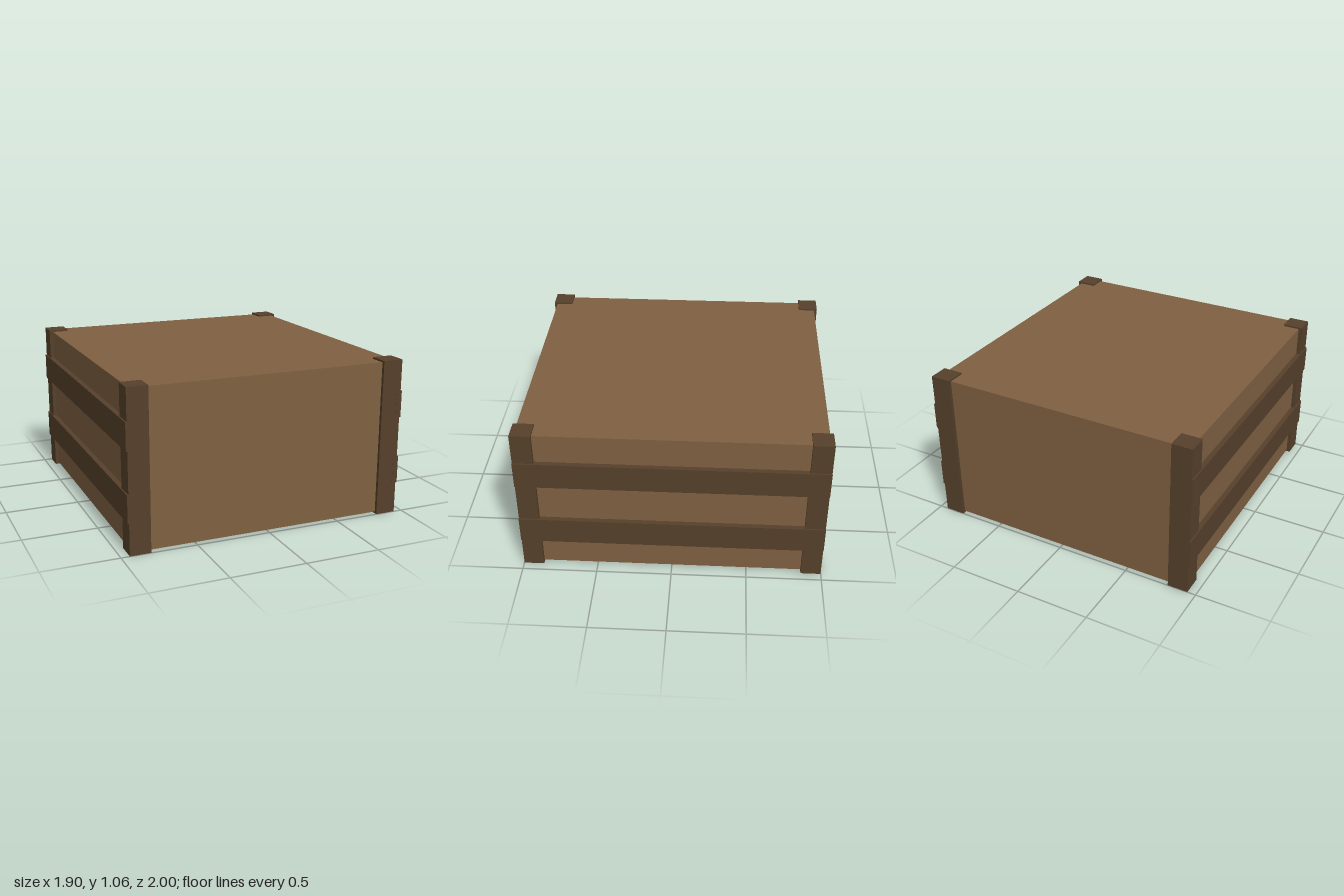
import * as THREE from 'three';

export function createModel() {
  const crate = new THREE.Group();
  crate.name = 'crate';

  const panelWood = new THREE.MeshStandardMaterial({ color: 0x7f6041 });
  panelWood.name = 'light brown wood';
  const frameWood = new THREE.MeshStandardMaterial({ color: 0x56402b });
  frameWood.name = 'dark brown wood';

  // Box spanning the given minimum and maximum on each axis
  function addBox(name, material, [x0, x1], [y0, y1], [z0, z1]) {
    const geometry = new THREE.BoxGeometry(x1 - x0, y1 - y0, z1 - z0);
    const mesh = new THREE.Mesh(geometry, material);
    mesh.position.set((x0 + x1) / 2, (y0 + y1) / 2, (z0 + z1) / 2);
    mesh.name = name;
    crate.add(mesh);
  }

  // Closed body
  addBox('body', panelWood, [-0.918, 0.918], [0.012, 1.048], [-0.978, 0.978]);

  for (const side of [-1, 1]) {
    const sideName = side > 0 ? 'left' : 'right';
    const span = (a, b, s) => (s > 0 ? [a, b] : [-b, -a]);

    // Corner posts, slightly proud of the body
    for (const end of [-1, 1]) {
      const endName = end > 0 ? 'Front' : 'Back';
      addBox(`${sideName}${endName}Post`, frameWood,
        span(0.805, 0.943, side), [0, 1.06], span(0.865, 0.999, end));
    }

    // Two horizontal slats across each side
    addBox(`${sideName}LowerSlat`, frameWood, span(0.914, 0.952, side), [0.212, 0.396], [-1, 1]);
    addBox(`${sideName}UpperSlat`, frameWood, span(0.914, 0.952, side), [0.668, 0.85], [-1, 1]);
  }

  return crate;
}
